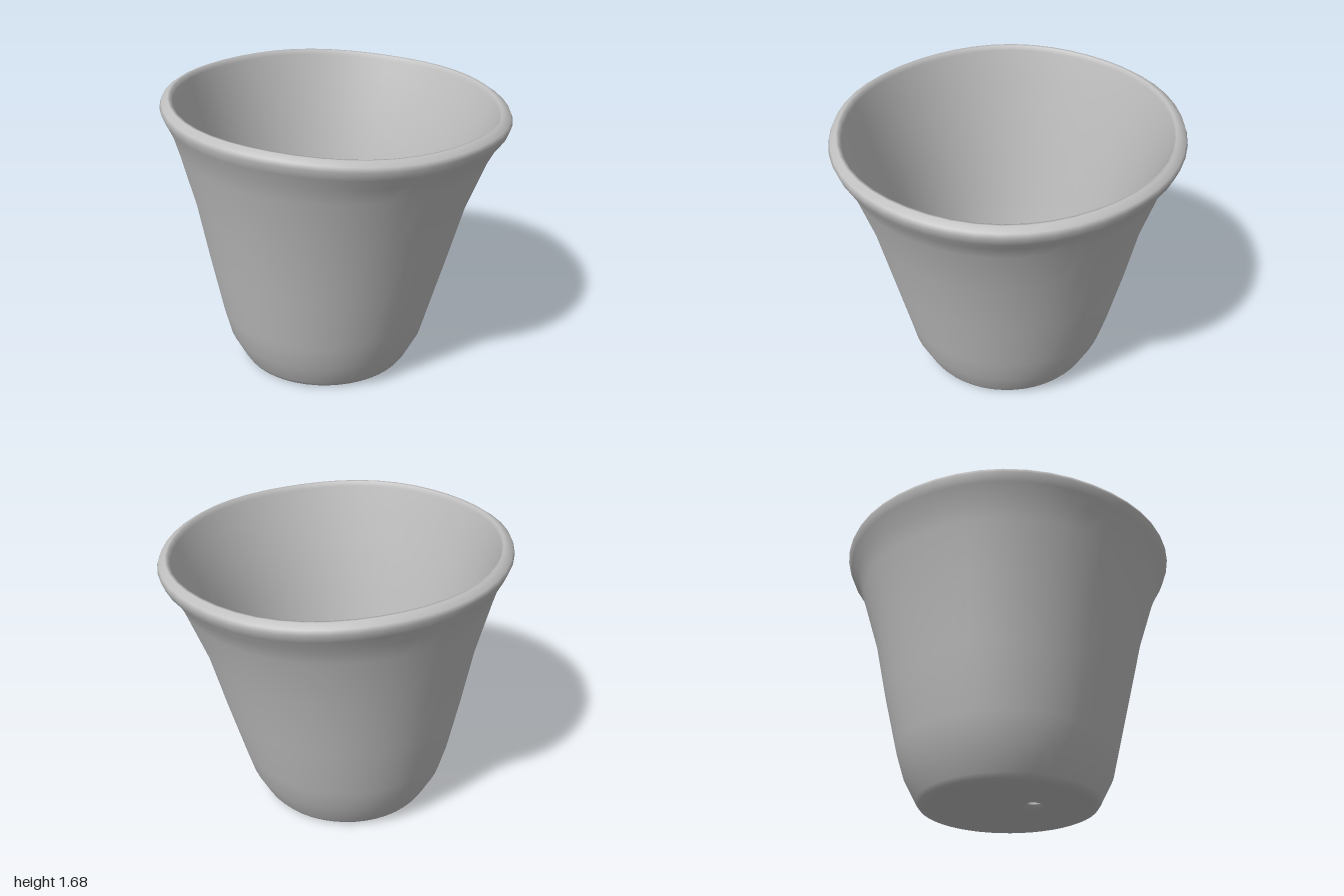
import * as THREE from 'three';

const SEGMENTS = 48;

// Cross-sections: centre x, centre z, radius, height, tilt amount.
// They run from the drain hole under the base, up the outside, over the lip, and down the inside.
const RINGS = [
  // underside
  [-0.175, 0.03, 0.038, 0.03, 0],
  [-0.17, 0.025, 0.08, 0.008, 0],
  [-0.12, -0.01, 0.25, 0.0, 0],
  [-0.06, -0.05, 0.46, 0.005, 0],
  [-0.055, -0.05, 0.505, 0.015, 0],
  // outer wall
  [-0.053, -0.05, 0.523, 0.04, 0],
  [-0.052, -0.05, 0.595, 0.18, 0],
  [-0.046, -0.052, 0.638, 0.34, 0],
  [-0.034, -0.04, 0.72, 0.69, 0],
  [-0.025, -0.025, 0.797, 1.04, 0.1],
  [-0.012, -0.01, 0.895, 1.36, 0.4],
  [-0.006, -0.005, 0.933, 1.46, 0.7],
  // flared lip
  [0, -0.005, 0.975, 1.53, 1],
  [0, -0.005, 0.995, 1.58, 1],
  [0, -0.005, 0.985, 1.605, 1],
  [0, -0.005, 0.95, 1.629, 1],
  [0, -0.005, 0.932, 1.627, 1],
  [0, -0.005, 0.922, 1.6, 1],
  // inner wall
  [-0.008, -0.01, 0.875, 1.46, 0.7],
  [-0.018, -0.02, 0.815, 1.27, 0.3],
  [-0.028, -0.035, 0.735, 1.0, 0.1],
  [-0.034, -0.045, 0.655, 0.65, 0],
  [-0.04, -0.052, 0.575, 0.32, 0],
  [-0.035, -0.055, 0.5, 0.12, 0],
  [-0.03, -0.055, 0.46, 0.075, 0],
  // inner floor
  [-0.035, -0.05, 0.42, 0.068, 0],
  [-0.12, -0.01, 0.22, 0.065, 0],
  [-0.17, 0.025, 0.07, 0.06, 0],
  [-0.175, 0.03, 0.04, 0.045, 0],
];

// Joins the rings into one closed skin around the drain hole.
function buildPot() {
  const positions = [], index = [];
  RINGS.forEach(([cx, cz, r, y, tilt]) => {
    for (let i = 0; i < SEGMENTS; i++) {
      const a = (i / SEGMENTS) * Math.PI * 2;
      const x = Math.cos(a), z = Math.sin(a);
      // the rim leans down to the front left, with slight hand-made waviness
      const lean = -0.024 * x - 0.036 * z + 0.004 * Math.sin(5 * a + 1);
      positions.push(cx + r * x, y + tilt * lean, cz + r * z);
    }
  });
  for (let j = 0; j < RINGS.length; j++) {
    const k = (j + 1) % RINGS.length;
    for (let i = 0; i < SEGMENTS; i++) {
      const n = (i + 1) % SEGMENTS;
      const a = j * SEGMENTS + i, b = k * SEGMENTS + i;
      const c = k * SEGMENTS + n, d = j * SEGMENTS + n;
      index.push(a, b, d, b, c, d);
    }
  }
  const geometry = new THREE.BufferGeometry();
  geometry.setAttribute('position', new THREE.Float32BufferAttribute(positions, 3));
  geometry.setIndex(index);
  geometry.computeVertexNormals();
  return geometry;
}

export function createModel() {
  const group = new THREE.Group();
  group.name = 'flowerPot';
  const grey = new THREE.MeshStandardMaterial({ color: 0xbfbfbf });
  grey.name = 'grey clay';
  const pot = new THREE.Mesh(buildPot(), grey);
  pot.name = 'pot';
  group.add(pot);
  return group;
}
